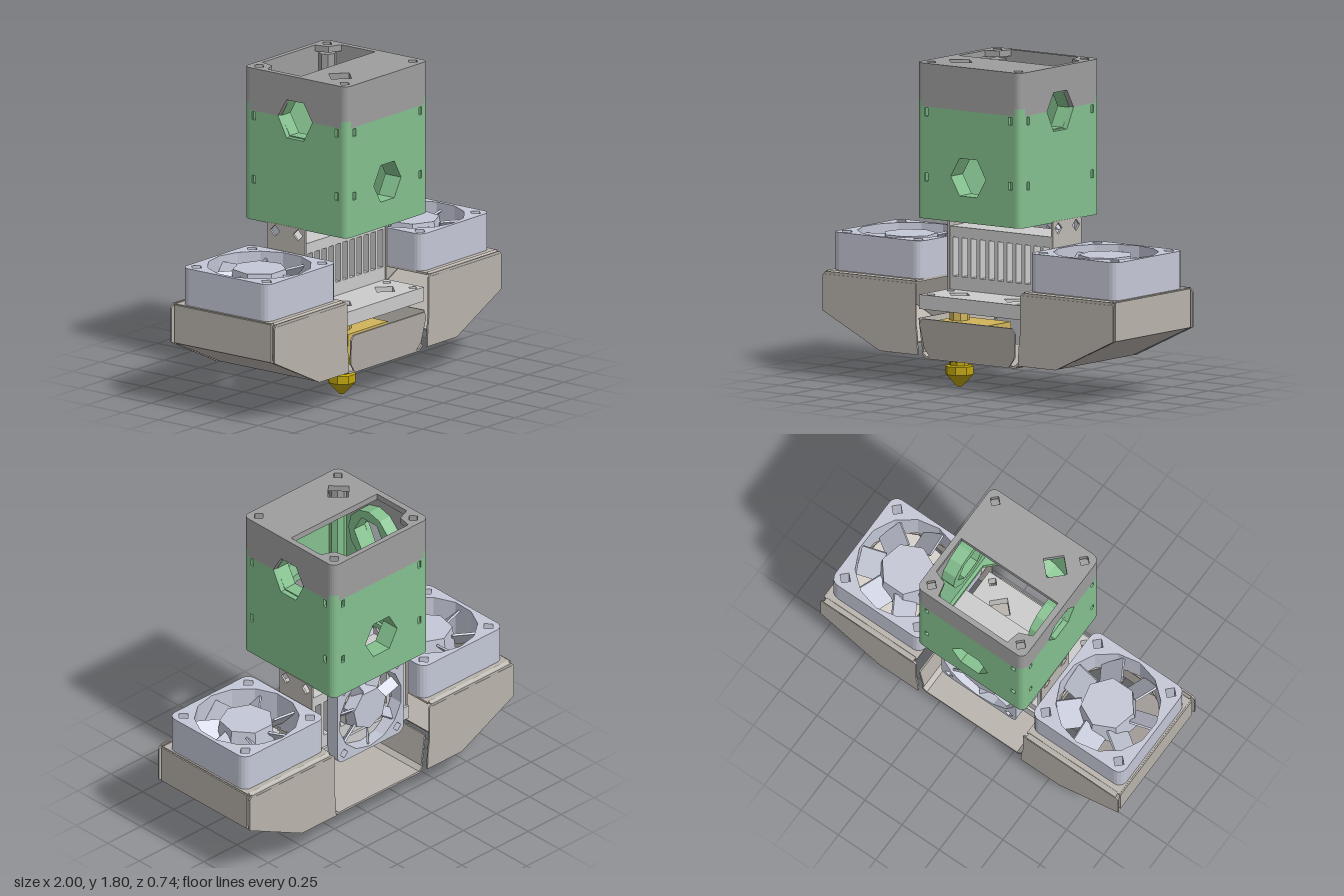
import * as THREE from 'three';

const mat = (c) => new THREE.MeshStandardMaterial({ color: c, flatShading: true, side: THREE.DoubleSide });
const M = {
  green: mat(0x84c08e), cap: mat(0x9e9e9e), fan: mat(0xc4c7d6), duct: mat(0xb9b3ac),
  sink: mat(0xd0d1d3), bracket: mat(0xbdb9b3), brass: mat(0xd0b45a), nozzle: mat(0xbfa50a),
};

function add(parent, name, geo, m, x = 0, y = 0, z = 0) {
  const mesh = new THREE.Mesh(geo, m);
  mesh.name = name;
  mesh.position.set(x, y, z);
  parent.add(mesh);
  return mesh;
}
const box = (w, h, d) => new THREE.BoxGeometry(w, h, d);
const poly = (pts) => pts.map(([x, y]) => new THREE.Vector2(x, y));
function ngon(r, n, cx = 0, cy = 0, rot = 0) {
  return Array.from({ length: n }, (_, i) => {
    const a = rot + (i / n) * Math.PI * 2;
    return new THREE.Vector2(cx + r * Math.cos(a), cy + r * Math.sin(a));
  });
}
// Plate cut from an outline with polygonal holes, extruded along +z
function plate(outline, holes, depth) {
  const s = new THREE.Shape(outline);
  holes.forEach((h) => s.holes.push(new THREE.Path(h)));
  return new THREE.ExtrudeGeometry(s, { depth, bevelEnabled: false });
}
// The same, laid flat: outline y becomes z, and thickness goes down
const flat = (outline, holes, depth) => plate(outline, holes, depth).rotateX(Math.PI / 2);
function roundRect(w, h, r) {
  const out = [];
  [[1, 1], [-1, 1], [-1, -1], [1, -1]].forEach(([sx, sy], q) => {
    for (let i = 0; i <= 4; i++) {
      const a = (q + i / 4) * Math.PI / 2;
      out.push(new THREE.Vector2(sx * (w - r) + r * Math.cos(a), sy * (h - r) + r * Math.sin(a)));
    }
  });
  return out;
}
const rect = (x0, y0, x1, y1) => poly([[x0, y0], [x1, y0], [x1, y1], [x0, y1]]);
const corners = (x, y, f) => [-1, 1].flatMap((sx) => [-1, 1].map((sy) => f(sx * x, sy * y)));
// Strip of sheet metal between two points in the xy plane
function strip(parent, name, [x0, y0], [x1, y1], t, depth, m) {
  const b = add(parent, name, box(Math.hypot(x1 - x0, y1 - y0), t, depth), m, (x0 + x1) / 2, (y0 + y1) / 2, 0);
  b.rotation.z = Math.atan2(y1 - y0, x1 - x0);
}

// Axial fan facing +z
function makeFan(name, half, depth) {
  const g = new THREE.Group();
  g.name = name;
  const k = half / 0.305;
  const holes = [ngon(0.288 * k, 14, 0, 0, 0.2), ...corners(0.245 * k, 0.245 * k, (x, y) => ngon(0.035 * k, 4, x, y))];
  add(g, 'fanFrame', plate(roundRect(half, half, 0.05 * k), holes, depth), M.fan, 0, 0, -depth / 2);
  const hub = new THREE.CylinderGeometry(0.15 * k, 0.17 * k, depth * 0.85, 7).rotateX(Math.PI / 2);
  add(g, 'fanHub', hub, M.fan);
  for (let i = 0; i < 7; i++) {
    const blade = box(0.14 * k, 0.012, depth * 0.85);
    blade.rotateX(0.75).translate(0.21 * k, 0, 0).rotateZ((i / 7) * Math.PI * 2 + 0.3);
    add(g, 'fanBlade', blade, M.fan);
  }
  return g;
}

function makeHousing() {
  const g = new THREE.Group();
  g.name = 'housing';
  const T = 0.03, R = 0.04, H = 0.36, W = H - R;
  const notch = (y) => [-0.29, 0.29].map((x) => rect(x - 0.012, y - 0.022, x + 0.012, y + 0.022));
  for (let i = 0; i < 4; i++) {
    const side = new THREE.Group();
    side.name = 'housingSide';
    side.rotation.y = i * Math.PI / 2;
    g.add(side);
    const onSide = i % 2 === 1;
    // Walls: the left and right sides share a hexagonal hole across the seam
    const lowCut = onSide ? [[0.12, 1.56], [0.06, 1.445], [-0.06, 1.445], [-0.12, 1.56]] : [];
    const topCut = onSide ? [[-0.12, 1.56], [-0.06, 1.66], [0.06, 1.66], [0.12, 1.56]] : [];
    const low = poly([[-W, 0.94], [W, 0.94], [W, 1.56], ...lowCut, [-W, 1.56]]);
    const top = poly([[-W, 1.56], ...topCut, [W, 1.56], [W, 1.8], [-W, 1.8]]);
    const holes = [...notch(1.17), ...notch(1.53)];
    if (!onSide) holes.push(ngon(0.12, 6, 0, 1.19));
    add(side, 'lowerWall', plate(low, holes, T), M.green, 0, 0, H - T);
    add(side, 'upperWall', plate(top, [], T), M.cap, 0, 0, H - T);
    // Boss around the hole, inside the wall
    const cy = onSide ? 1.555 : 1.19;
    add(side, 'holeBoss', plate(ngon(0.165, 12, 0, cy), [ngon(0.12, 6, 0, cy)], 0.08), M.green, 0, 0, H - T - 0.08);
    // Rounded corner and screw post
    const arc = (y0, y1) => new THREE.CylinderGeometry(R, R, y1 - y0, 6, 1, false, 0, Math.PI / 2).translate(W, (y0 + y1) / 2, W);
    add(side, 'lowerCorner', arc(0.94, 1.6), M.green);
    add(side, 'upperCorner', arc(1.6, 1.8), M.cap);
    add(side, 'lowerPost', new THREE.CylinderGeometry(0.05, 0.05, 0.62, 8), M.green, 0.3, 1.25, 0.3);
    add(side, 'upperPost', new THREE.CylinderGeometry(0.05, 0.05, 0.19, 8), M.cap, 0.3, 1.655, 0.3);
  }
  // Roof with rear opening, feed hole and screw holes
  const opening = poly([[-0.325, 0.015], [0.325, 0.015], [0.325, -0.22], [0.25, -0.25], [0.23, -0.335], [-0.23, -0.335], [-0.25, -0.25], [-0.325, -0.22]]);
  const roofHoles = [opening, ngon(0.08, 4, -0.19, 0.18), ...corners(0.3, 0.3, (x, z) => ngon(0.033, 4, x, z))];
  add(g, 'roof', flat(roundRect(H, H, R), roofHoles, 0.035), M.cap, 0, 1.8, 0);
  // Inner lip at the open bottom
  const lip = poly([[-0.31, -0.2], [-0.2, -0.31], [0.2, -0.31], [0.31, -0.2], [0.31, 0.2], [0.2, 0.31], [-0.2, 0.31], [-0.31, 0.2]]);
  add(g, 'bottomLip', flat(roundRect(H, H, R), [lip], 0.03), M.green, 0, 0.971, 0);
  return g;
}

function makeHeatSink() {
  const g = new THREE.Group();
  g.name = 'heatSink';
  const zc = -0.06, d = 0.25;
  for (let i = 0; i <= 11; i++) add(g, 'fin', box(0.022, 0.24, d), M.sink, -0.341 + i * 0.062, 0.69, zc);
  add(g, 'finTopBar', box(0.71, 0.06, d), M.sink, 0, 0.83, zc);
  add(g, 'finBase', box(0.71, 0.08, d), M.sink, 0, 0.545, zc);
  // Shelf with two large holes and four screw holes
  const holes = [-0.19, 0.19].map((x) => ngon(0.07, 4, x, 0.19));
  holes.push(...corners(0.31, 0.09, (x, z) => ngon(0.028, 4, x, z + 0.2)));
  add(g, 'shelf', flat(rect(-0.36, -0.2, 0.36, 0.33), holes, 0.08), M.sink, 0, 0.51, 0);
  // Side tabs reaching up to the housing
  for (const s of [-1, 1]) {
    const tab = plate(rect(-0.07, 0.5, 0.19, 0.945), [-0.02, 0.14].map((u) => ngon(0.033, 4, u, 0.905)), 0.012);
    add(g, 'sideTab', tab.rotateY(Math.PI / 2), M.bracket, s * 0.356 - 0.006, 0, 0);
  }
  const fan = makeFan('rearFan', 0.25, 0.08);
  fan.position.set(0, 0.68, -0.235);
  fan.rotation.y = Math.PI;
  g.add(fan);
  return g;
}

// Side fan and its sheet-metal duct, on the +x side
function makeBlower() {
  const g = new THREE.Group();
  const fan = makeFan('sideFan', 0.305, 0.21);
  fan.rotation.x = -Math.PI / 2;
  fan.position.set(0.675, 0.695, 0);
  g.add(fan);
  const top = poly([[0.37, -0.34], [0.99, -0.34], [0.99, 0.34], [0.37, 0.34]]);
  add(g, 'ductTop', flat(top, [ngon(0.285, 14, 0.675, 0)], 0.012), M.duct, 0, 0.59, 0);
  strip(g, 'ductOuterWall', [0.992, 0.585], [0.992, 0.37], 0.012, 0.675, M.duct);
  strip(g, 'ductSlope', [0.994, 0.375], [0.6, 0.187], 0.012, 0.675, M.duct);
  const cheek = poly([[0.36, 0.57], [0.38, 0.588], [0.98, 0.588], [1, 0.565], [1, 0.37], [0.605, 0.18], [0.345, 0.18], [0.35, 0.28], [0.36, 0.36]]);
  for (const s of [-1, 1]) {
    add(g, 'ductCheek', plate(cheek, [], 0.01), M.duct, 0, 0, s * 0.36 - 0.005);
    // Bent edge joining the cheek to the top
    const bend = add(g, 'ductBend', box(0.6, 0.008, 0.035), M.duct, 0.68, 0.58, s * 0.349);
    bend.rotation.x = s * 0.6;
  }
  return g;
}

function makeTray() {
  const g = new THREE.Group();
  g.name = 'tray';
  add(g, 'trayFloor', box(0.62, 0.012, 0.68), M.duct, 0, 0.166, 0);
  for (const s of [-1, 1]) {
    strip(g, 'trayBend', [s * 0.305, 0.166], [s * 0.333, 0.19], 0.012, 0.68, M.duct);
    strip(g, 'traySide', [s * 0.333, 0.187], [s * 0.36, 0.38], 0.01, 0.66, M.duct);
  }
  const flap = poly([[-0.27, 0], [0.27, 0], [0.31, 0.05], [0.33, 0.19], [0.31, 0.22], [-0.31, 0.22], [-0.33, 0.19], [-0.31, 0.05]]);
  add(g, 'trayFrontFlap', plate(flap, [], 0.01), M.duct, 0, 0.168, 0.335).rotation.x = 0.13;
  return g;
}

function makeHotEnd() {
  const g = new THREE.Group();
  g.name = 'hotEnd';
  const block = plate(rect(-0.27, 0.23, 0.08, 0.37), [ngon(0.035, 6, 0, 0.3)], 0.22);
  add(g, 'heaterBlock', block, M.brass, 0, 0, 0.08);
  add(g, 'throat', new THREE.CylinderGeometry(0.055, 0.055, 0.14, 8, 1, true), M.brass, -0.19, 0.42, 0.19);
  const profile = poly([[0, 0], [0.015, 0], [0.08, 0.07], [0.08, 0.115], [0.055, 0.12], [0.055, 0.14], [0.07, 0.145], [0.07, 0.16], [0.055, 0.165], [0.055, 0.24]]);
  add(g, 'nozzle', new THREE.LatheGeometry(profile, 8, Math.PI / 8), M.nozzle, -0.19, 0, 0.19);
  return g;
}

export function createModel() {
  const model = new THREE.Group();
  model.name = 'printHead';
  model.add(makeHousing(), makeHeatSink(), makeTray(), makeHotEnd());
  const left = makeBlower(), right = makeBlower();
  left.name = 'leftBlower';
  right.name = 'rightBlower';
  right.rotation.y = Math.PI;
  model.add(left, right);
  return model;
}
